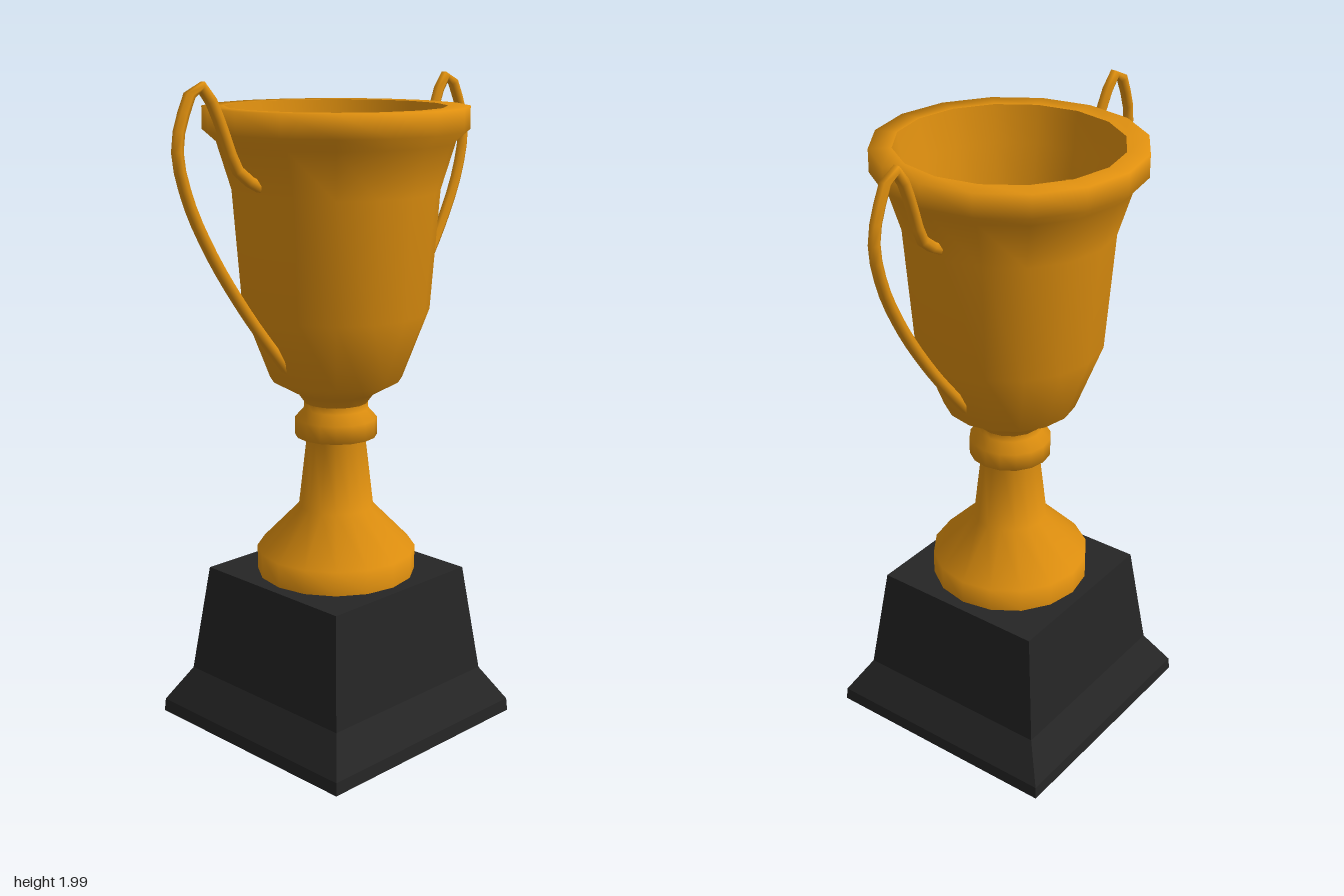
import * as THREE from 'three';

const gold = new THREE.MeshStandardMaterial({ color: 0xe0900f });
gold.name = 'gold';
const black = new THREE.MeshStandardMaterial({ color: 0x252525 });
black.name = 'black';

// Revolved profile given as [radius, height] pairs
function lathe(profile, sides, phi = 0) {
  return new THREE.LatheGeometry(profile.map(([r, y]) => new THREE.Vector2(r, y)), sides, phi);
}

function part(name, geometry, material) {
  const mesh = new THREE.Mesh(geometry, material);
  mesh.name = name;
  return mesh;
}

// Square stepped plinth with flat faces: [half width, height]
function plinthGeometry() {
  const steps = [[0, 0], [0.39, 0], [0.387, 0.04], [0.322, 0.15], [0.28, 0.49], [0, 0.49]];
  const g = lathe(steps.map(([w, y]) => [w * Math.SQRT2, y]), 4, Math.PI / 4).toNonIndexed();
  g.computeVertexNormals();
  return g;
}

// Looping ear handle; side is +1 or -1
function handle(name, side) {
  const path = [
    [0.295, 1.695, 0.005], [0.335, 1.715, 0.003], [0.385, 1.755, 0], [0.42, 1.84, -0.005],
    [0.455, 1.925, -0.01], [0.485, 1.975, -0.013], [0.515, 1.984, -0.014], [0.545, 1.94, -0.014],
    [0.583, 1.825, -0.012], [0.557, 1.69, -0.008], [0.48, 1.53, -0.004],
    [0.36, 1.35, 0], [0.26, 1.225, 0.002], [0.195, 1.15, 0.003],
  ].map(([x, y, z]) => new THREE.Vector3(side * x, y, z));
  const curve = new THREE.CatmullRomCurve3(path);
  return part(name, new THREE.TubeGeometry(curve, 26, 0.017, 6), gold);
}

export function createModel() {
  const group = new THREE.Group();
  group.name = 'trophy';

  group.add(part('plinth', plinthGeometry(), black));

  // Foot, stem and collar
  group.add(part('stem', lathe([
    [0.245, 0.49], [0.245, 0.565], [0.115, 0.70], [0.09, 0.915], [0.125, 0.925],
    [0.125, 0.98], [0.098, 1.01], [0.098, 1.035],
  ], 16), gold));

  // Outside of the bowl, up to the inner edge of the rim
  group.add(part('bowl', lathe([
    [0.098, 1.03], [0.12, 1.06], [0.2, 1.105], [0.28, 1.315], [0.307, 1.67],
    [0.35, 1.81], [0.39, 1.845], [0.39, 1.912], [0.325, 1.912],
  ], 16), gold));

  // Hollow inside of the bowl
  group.add(part('bowlInside', lathe([
    [0.325, 1.912], [0.31, 1.8], [0.285, 1.65], [0.255, 1.33], [0.175, 1.15], [0, 1.11],
  ], 16), gold));

  group.add(handle('leftHandle', 1), handle('rightHandle', -1));
  return group;
}
